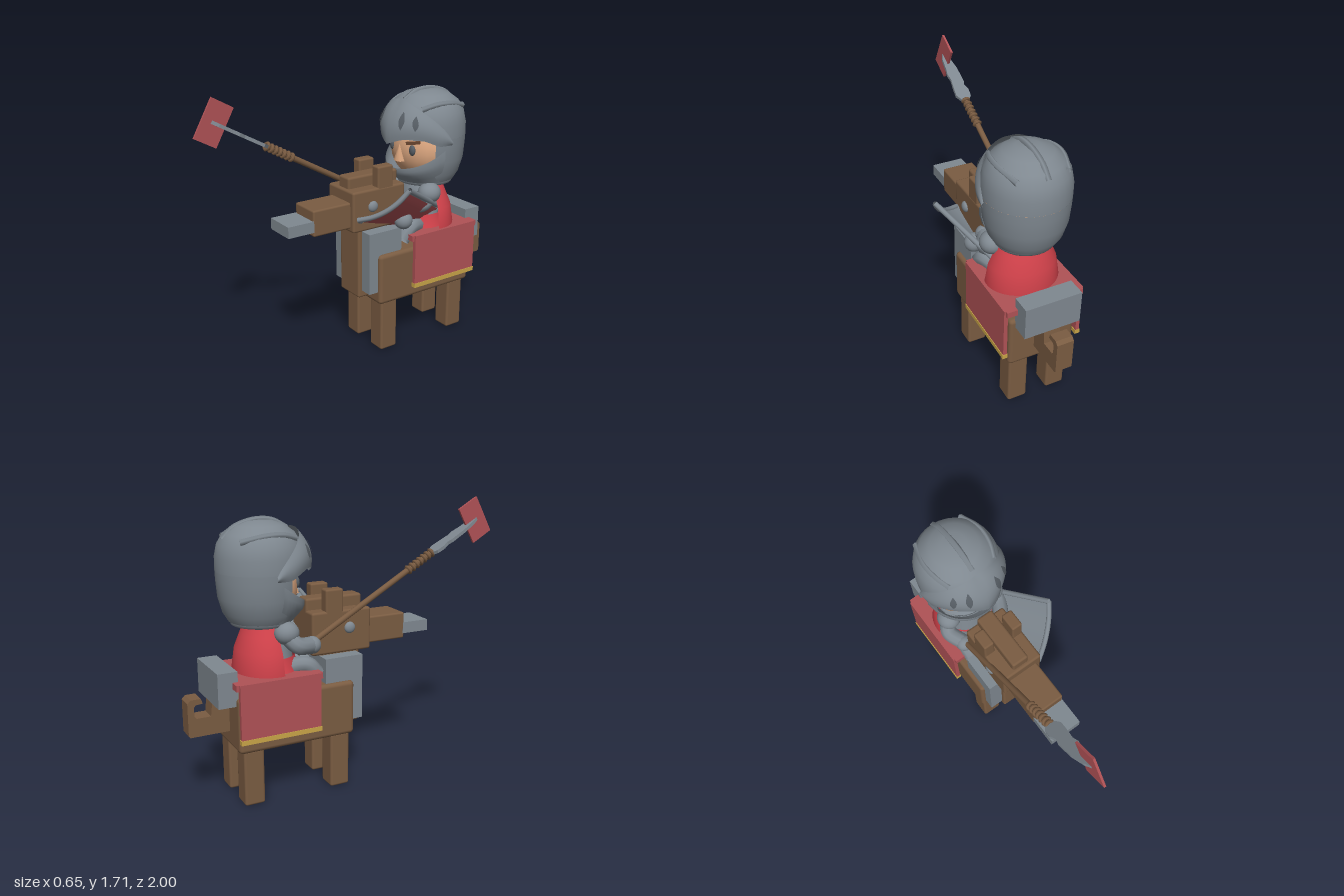
import * as THREE from 'three';
import { RoundedBoxGeometry } from 'three/addons/geometries/RoundedBoxGeometry.js';

const mat = (name, color) => new THREE.MeshStandardMaterial({ name, color, side: THREE.DoubleSide });
const V = (x, y, z) => new THREE.Vector3(x, y, z);
const CX = -0.047, HX = -0.057; // rider and horse centre lines

export function createModel() {
  const root = new THREE.Group();
  root.name = 'mountedKnight';
  const wood = mat('brown wood', 0x7a5c42), steel = mat('steel', 0x7f8890), dark = mat('dark steel', 0x565d64);
  const cloth = mat('muted red cloth', 0xb05256), red = mat('bright red cape', 0xd2424b);
  const gold = mat('gold trim', 0xc9a548), skin = mat('skin', 0xd6a27c), hair = mat('brow brown', 0x6b4630);

  const add = (name, geo, m, parent = root) => {
    const mesh = new THREE.Mesh(geo, m);
    mesh.name = name;
    parent.add(mesh);
    return mesh;
  };
  // box given by its limits, with optional rounded edges
  const box = (name, m, [x0, x1], [y0, y1], [z0, z1], r = 0) => {
    const s = [x1 - x0, y1 - y0, z1 - z0];
    const g = r ? new RoundedBoxGeometry(...s, 2, r) : new THREE.BoxGeometry(...s);
    return add(name, g.translate((x0 + x1) / 2, (y0 + y1) / 2, (z0 + z1) / 2), m);
  };
  const ball = (name, m, p, r, s = [1, 1, 1]) => {
    const b = add(name, new THREE.SphereGeometry(r, 20, 14), m);
    b.position.set(...p);
    b.scale.set(...s);
    return b;
  };
  const tube = (name, m, pts, r, sides = 10, closed = false) =>
    add(name, new THREE.TubeGeometry(new THREE.CatmullRomCurve3(pts, closed), 24, r, sides, closed), m);
  // surface patch from a function of u and v
  const shell = (name, m, nu, nv, fn) => {
    const pos = [], idx = [];
    for (let i = 0; i <= nu; i++) for (let j = 0; j <= nv; j++) pos.push(...fn(i / nu, j / nv).toArray());
    for (let i = 0; i < nu; i++) for (let j = 0; j < nv; j++) {
      const a = i * (nv + 1) + j, b = a + nv + 1;
      idx.push(a, b, a + 1, b, b + 1, a + 1);
    }
    const g = new THREE.BufferGeometry();
    g.setAttribute('position', new THREE.Float32BufferAttribute(pos, 3));
    g.setIndex(idx);
    g.computeVertexNormals();
    return add(name, g, m);
  };
  const lathe = (name, m, pts, z, sz = 1, start = 0, len = Math.PI * 2) => {
    const g = new THREE.LatheGeometry(pts.map(p => new THREE.Vector2(...p)), 32, start, len);
    return add(name, g.scale(1, 1, sz).translate(CX, 0, z), m);
  };

  // Horse
  box('horseBody', wood, [-0.27, 0.155], [0.335, 0.67], [-0.755, -0.02], 0.025);
  for (const [x0, x1] of [[-0.25, -0.125], [0.01, 0.135]])
    for (const [z0, z1] of [[-0.725, -0.6], [-0.17, -0.045]]) box('leg', wood, [x0, x1], [0, 0.345], [z0, z1], 0.015);
  box('neck', wood, [-0.16, 0.047], [0.37, 0.835], [-0.2, 0.07], 0.015);
  box('horseHead', wood, [-0.192, 0.08], [0.83, 1.09], [-0.26, 0.13], 0.015);
  box('mane', wood, [-0.11, 0], [1.05, 1.16], [-0.26, 0.11], 0.015);
  box('snout', wood, [-0.16, 0.047], [0.855, 1.02], [0.1, 0.39], 0.012);
  box('muzzlePlate', steel, [-0.16, 0.045], [0.885, 0.955], [0.38, 0.56]);
  box('chestPlate', steel, [-0.245, 0.13], [0.42, 0.82], [-0.2, 0.045]);
  box('rumpPlate', steel, [-0.235, 0.12], [0.62, 0.825], [-0.86, -0.742]);
  for (const s of [-1, 1]) {
    const x = HX + s * 0.1;
    box('ear', wood, [x - 0.035, x + 0.035], [1.0, 1.22], [-0.17, -0.055], 0.012);
    ball('horseEye', steel, [HX + s * 0.137, 0.98, -0.015], 0.035, [0.6, 1, 1]);
    const bx = HX + s * 0.241;
    box('blanketSide', cloth, [bx - 0.012, bx + 0.012], [0.43, 0.765], [-0.757, -0.262]);
    box('blanketTrim', gold, [bx - 0.016, bx + 0.016], [0.412, 0.44], [-0.76, -0.26]);
  }
  box('blanketTop', cloth, [-0.3, 0.186], [0.728, 0.765], [-0.775, -0.245]);

  // Hooked tail, drawn in side profile
  const tail = new THREE.Shape([
    [0.74, 0.43], [0.99, 0.43], [1.0, 0.44], [1.0, 0.635], [0.98, 0.655], [0.92, 0.655], [0.91, 0.625],
    [0.95, 0.622], [0.962, 0.61], [0.962, 0.555], [0.95, 0.54], [0.865, 0.54], [0.855, 0.62], [0.74, 0.62],
  ].map(p => new THREE.Vector2(...p)));
  add('tail', new THREE.ExtrudeGeometry(tail, { depth: 0.105, bevelEnabled: false })
    .rotateY(Math.PI / 2).translate(-0.11, 0, 0), wood);

  // Rider body
  lathe('torso', steel, [[0, 0.68], [0.17, 0.7], [0.16, 0.8], [0.14, 0.9], [0.13, 1.0], [0.1, 1.06]], -0.47, 0.85);
  lathe('tabard', red, [[0.19, 0.75], [0.172, 0.8], [0.162, 0.85]], -0.47, 0.88);
  lathe('cape', red, [[0.21, 0.64], [0.225, 0.77], [0.205, 0.89], [0.165, 0.98], [0.13, 1.06]],
    -0.5, 0.86, Math.PI * 0.45, Math.PI * 1.1);
  lathe('collar', steel, [[0.14, 1.03], [0.175, 1.04], [0.185, 1.075], [0.14, 1.09]], -0.52);
  for (const s of [-1, 1]) {
    const at = (x, y, z) => V(CX + s * x, y, z);
    tube('thigh', steel, [at(0.09, 0.77, -0.42), at(0.14, 0.79, -0.3), at(0.14, 0.72, -0.23)], 0.05);
    tube('arm', steel, s < 0
      ? [at(0.15, 1.0, -0.44), at(0.2, 0.93, -0.38), at(0.165, 0.91, -0.28)]
      : [at(0.15, 1.0, -0.44), at(0.17, 0.94, -0.38), at(0.12, 0.93, -0.27)], 0.05);
    ball('pauldron', steel, [CX + s * 0.16, 1.0, -0.43], 0.075, [0.95, 0.9, 1]);
    ball('gauntlet', steel, s < 0 ? [-0.21, 0.91, -0.27] : [0.07, 0.93, -0.25], 0.052);
  }

  // Face
  ball('face', skin, [CX, 1.25, -0.5], 0.2, [1.12, 1, 0.95]);
  const nose = add('nose', new THREE.ConeGeometry(0.045, 0.11, 8), skin);
  nose.position.set(CX, 1.25, -0.312);
  nose.scale.z = 0.7;
  for (const s of [-1, 1]) {
    ball('eye', dark, [CX + s * 0.098, 1.275, -0.335], 0.034, [0.72, 1, 0.5]);
    const brow = add('brow', new THREE.BoxGeometry(0.09, 0.018, 0.03), hair);
    brow.position.set(CX + s * 0.095, 1.322, -0.345);
    brow.rotation.set(0, s * 0.45, s * 0.15);
  }

  // Helmet: open-faced lower half, closed dome, jaw guard and pointed visor
  const HZ = -0.52, open = THREE.MathUtils.degToRad(66);
  lathe('helmetSides', steel, [[0.185, 1.06], [0.215, 1.11], [0.24, 1.2], [0.248, 1.3], [0.25, 1.35]],
    HZ, 1.02, open, Math.PI * 2 - open * 2);
  lathe('helmetDome', steel, [[0.25, 1.35], [0.25, 1.43], [0.235, 1.5], [0.2, 1.56], [0.14, 1.605], [0.07, 1.628], [0, 1.632]], HZ, 1.02);
  const around = (a, r, y) => V(CX + r * Math.sin(a), y, HZ + r * Math.cos(a));
  shell('jawGuard', steel, 24, 4, (u, v) => {
    const k = u * 2 - 1, top = 1.155 + 0.13 * k * k;
    return around(k * 1.4, 0.19 + 0.065 * Math.min(1, v * 1.6) - 0.003 * k * k, 1.06 + (top - 1.06) * v);
  });
  const visor = (k, v) => {
    const q = Math.abs(k), front = Math.pow(1 - q, 1.3);
    const low = 1.315 + 0.05 * Math.sin(Math.PI * Math.min(1, q * 1.3));
    const high = 1.345 + 0.24 * Math.pow(Math.cos(k * Math.PI / 2), 0.8);
    return around(k * 1.57, 0.257 + front * (0.053 - 0.105 * v * v) + 0.012 * Math.sin(Math.PI * v), low + (high - low) * v);
  };
  shell('visor', steel, 32, 8, (u, v) => visor(u * 2 - 1, v));
  // lens-shaped visor slits
  for (const k of [-0.42, -0.22, 0.22, 0.42])
    shell('visorSlit', dark, 6, 4, (u, v) => {
      const p = visor(k + (v - 0.5) * 0.09 * Math.sin(Math.PI * u), 0.28 + 0.5 * u);
      return p.add(V(Math.sin(k * 1.57), 0.2, Math.cos(k * 1.57)).multiplyScalar(0.006));
    });
  tube('crownRidge', steel, [V(CX, 1.575, -0.35), V(CX, 1.622, -0.44), V(CX, 1.628, -0.55), V(CX, 1.59, -0.67), V(CX, 1.53, -0.735)], 0.02, 5);
  for (const s of [-1, 1])
    tube('sideRidge', steel, [V(CX + s * 0.15, 1.535, -0.36), V(CX + s * 0.182, 1.56, -0.45),
      V(CX + s * 0.188, 1.56, -0.55), V(CX + s * 0.15, 1.53, -0.69)], 0.018, 5);

  // Curved rectangular shield
  const A = V(0.315, 1.125, -0.11), AB = V(-0.225, -0.245, -0.43), AC = V(-0.23, -0.21, 0.21), N = V(0.7, -0.714, 0.04);
  const shieldAt = (u, v, off = 0) => A.clone().addScaledVector(AB, u).addScaledVector(AC, v)
    .addScaledVector(N, 0.16 * v * (1 - v) + off);
  shell('shieldBack', steel, 4, 12, (u, v) => shieldAt(u, v, -0.006));
  shell('shieldFace', cloth, 4, 12, (u, v) => shieldAt(0.03 + u * 0.94, 0.04 + v * 0.92, 0.006));
  for (const e of [0, 1]) {
    const line = f => [0, 0.25, 0.5, 0.75, 1].map(f);
    tube('shieldRim', steel, line(t => shieldAt(t, e)), 0.016, 8);
    tube('shieldRim', steel, line(t => shieldAt(e, t)), 0.016, 8);
  }
  ball('shieldBoss', steel, shieldAt(0.5, 0.5, 0.01).toArray(), 0.058);

  // Lance, built along its own z axis
  const lance = new THREE.Group();
  lance.name = 'lance';
  root.add(lance);
  const rod = (name, m, r, z0, z1) =>
    add(name, new THREE.CylinderGeometry(r, r, z1 - z0, 10).rotateX(Math.PI / 2).translate(0, 0, (z0 + z1) / 2), m, lance);
  rod('lancePole', wood, 0.018, -0.06, 0.99);
  for (let i = 0; i < 7; i++)
    add('lanceWrap', new THREE.TorusGeometry(0.02, 0.011, 6, 12).translate(0, 0, 0.8 + i * 0.031), wood, lance);
  const blade = new THREE.Shape([
    [-0.02, 0.98], [-0.045, 1.01], [-0.05, 1.06], [-0.036, 1.1], [-0.045, 1.13], [-0.042, 1.24], [-0.025, 1.33], [0, 1.39],
    [0.025, 1.33], [0.034, 1.24], [0.042, 1.2], [0.034, 1.16], [0.044, 1.09], [0.05, 1.03], [0.02, 0.98],
  ].map(([x, y]) => new THREE.Vector2(x, y)));
  add('lanceBlade', new THREE.ExtrudeGeometry(blade, { depth: 0.02, bevelEnabled: false })
    .rotateX(Math.PI / 2).translate(0, 0.01, 0), steel, lance);
  add('pennant', new THREE.BoxGeometry(0.014, 0.247, 0.149).translate(0, 0, 1.357), cloth, lance);
  lance.position.set(-0.205, 0.9, -0.31);
  lance.lookAt(-0.187, 1.565, 0.873);

  return root;
}
